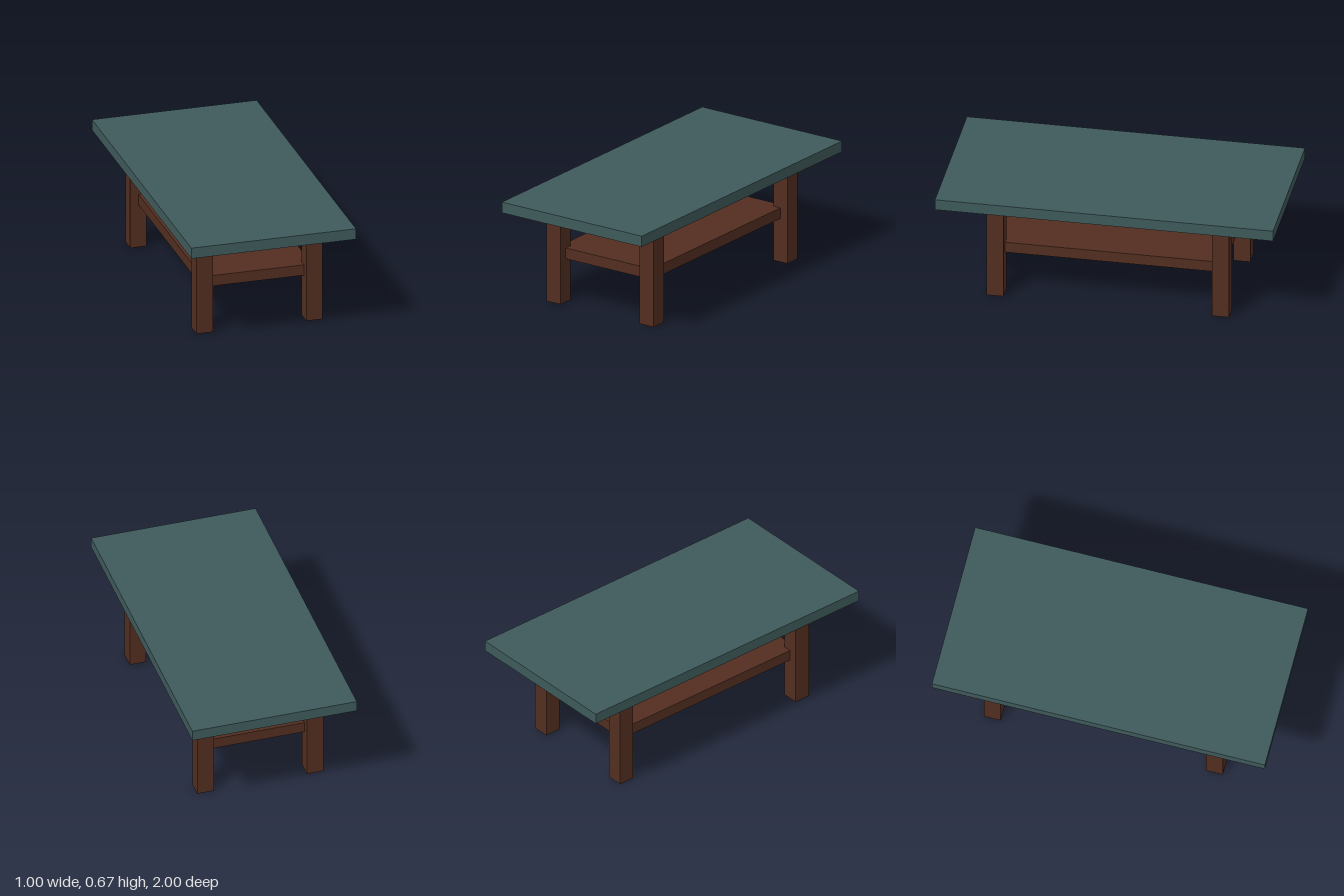
import * as THREE from 'three';

export function createModel() {
  const group = new THREE.Group();
  const teal = new THREE.MeshStandardMaterial({ color: 0x3f5a5b });
  const brown = new THREE.MeshStandardMaterial({ color: 0x532e20 });

  // Box placed by its base height
  function addBox(name, material, [w, h, d], x, baseY, z) {
    const mesh = new THREE.Mesh(new THREE.BoxGeometry(w, h, d), material);
    mesh.name = name;
    mesh.position.set(x, baseY + h / 2, z);
    group.add(mesh);
  }

  const legX = 0.333, legZ = 0.667, legHeight = 0.604;

  addBox('tabletop', teal, [1, 0.066, 2], 0, legHeight, 0);

  // Lower shelf, its corners let into the leg centres
  addBox('shelf', brown, [legX * 2, 0.066, legZ * 2], 0, 0.268, 0);

  // Four square legs
  for (const [end, sz] of [['front', 1], ['back', -1]]) {
    for (const [side, sx] of [['Left', 1], ['Right', -1]]) {
      addBox(`${end}${side}Leg`, brown, [0.1, legHeight, 0.1], sx * legX, 0, sz * legZ);
    }
  }

  return group;
}
